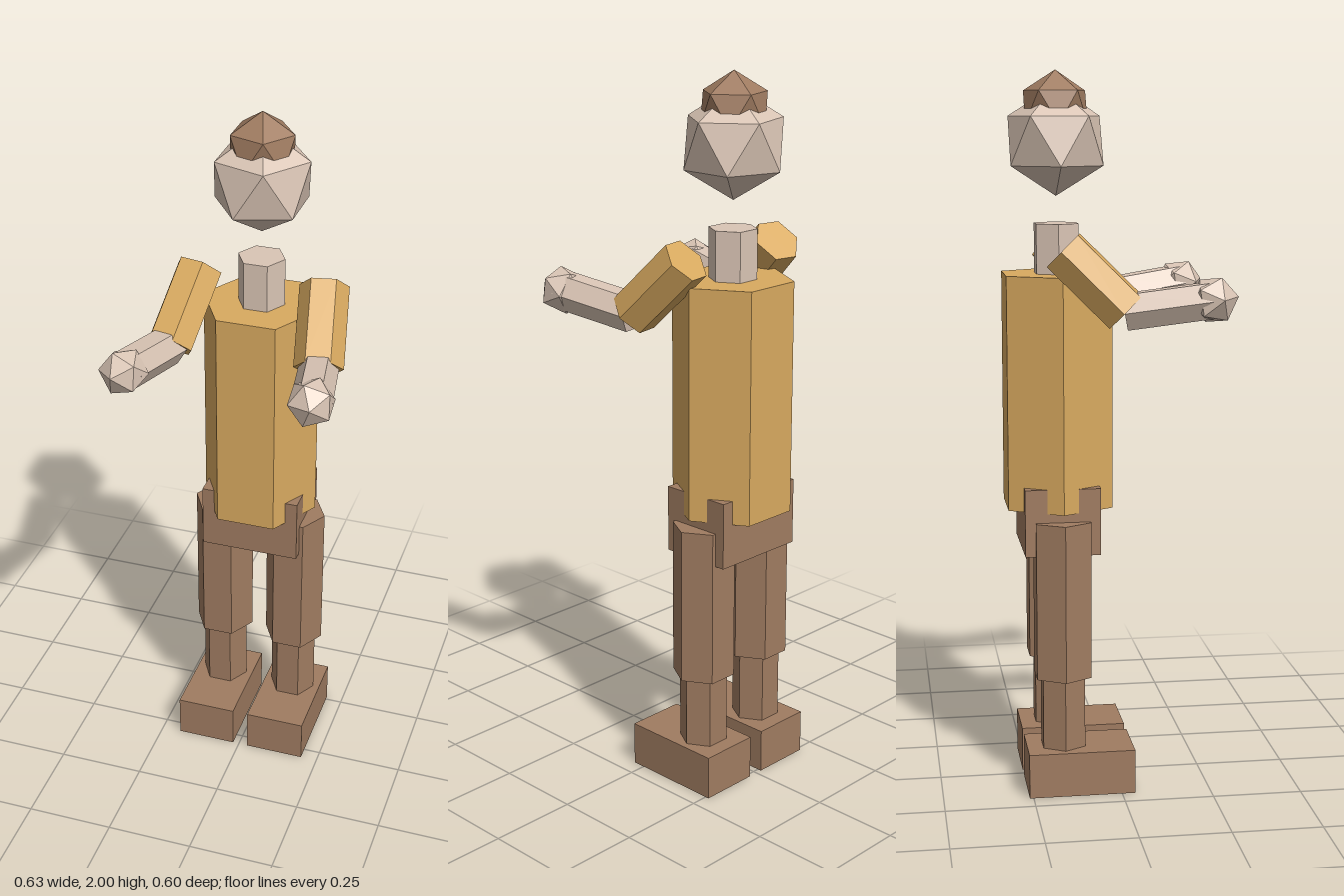
import * as THREE from 'three';

const CX = 0.004, CZ = -0.157; // body axis

export function createModel() {
  const model = new THREE.Group();
  model.name = 'figure';
  const flat = (name, color) => {
    const m = new THREE.MeshStandardMaterial({ color, flatShading: true });
    m.name = name;
    return m;
  };
  const skin = flat('skin', 0xdac5b5);
  const gold = flat('goldCloth', 0xd9aa60);
  const brown = flat('brownCloth', 0xa07c61);

  const add = (name, geometry, material, x, y, z) => {
    const mesh = new THREE.Mesh(geometry, material);
    mesh.name = name;
    mesh.position.set(x, y, z);
    model.add(mesh);
    return mesh;
  };

  // six-sided prism with corners on the x axis
  const prism = (r, h) => new THREE.CylinderGeometry(r, r, h, 6).rotateY(Math.PI / 2);
  const column = (name, r, y0, y1, x, material) =>
    add(name, prism(r, y1 - y0), material, x, (y0 + y1) / 2, CZ);

  // icosahedron with one corner at the top; side says where the upper ring starts
  const tilt = Math.atan(2 / (1 + Math.sqrt(5)));
  const ball = (r, side) => new THREE.IcosahedronGeometry(r, 0).rotateZ(-side * tilt);

  // six-sided limb between two points
  const limb = (name, r, from, to, material) => {
    const mid = from.clone().add(to).multiplyScalar(0.5);
    const geometry = prism(r, from.distanceTo(to)).rotateX(Math.PI / 2);
    add(name, geometry, material, mid.x, mid.y, mid.z).lookAt(to);
  };

  // head, neck and trunk
  add('head', ball(0.149, 1), skin, CX, 1.81, CZ);
  add('hair', ball(0.1, 1), brown, CX, 1.9, CZ);
  column('neck', 0.067, 1.44, 1.587, CX, skin);
  column('torso', 0.168, 0.8, 1.45, CX, gold);
  add('hips', new THREE.BoxGeometry(0.286, 0.188, 0.21), brown, CX, 0.774, CZ);

  for (const [side, s] of [['left', 1], ['right', -1]]) {
    // legs
    const legX = CX + s * 0.11;
    column(side + 'Thigh', 0.088, 0.33, 0.775, legX, brown);
    column(side + 'Shin', 0.068, 0.12, 0.335, legX, brown);
    add(side + 'Foot', new THREE.BoxGeometry(0.174, 0.126, 0.298), brown, legX, 0.063, -0.112);

    // arms reaching forward
    const shoulder = new THREE.Vector3(CX + s * 0.178, 1.526, CZ);
    const elbow = new THREE.Vector3(CX + s * 0.211, 1.363, 0.006);
    const wrist = new THREE.Vector3(CX + s * 0.256, 1.396, 0.235);
    limb(side + 'UpperArm', 0.068, shoulder, elbow, gold);
    limb(side + 'Forearm', 0.055, elbow, wrist, skin);
    const hand = add(side + 'Hand', ball(0.067, -1).rotateX(Math.PI / 2), skin, ...wrist.toArray());
    hand.lookAt(wrist.clone().multiplyScalar(2).sub(elbow));
  }
  return model;
}
